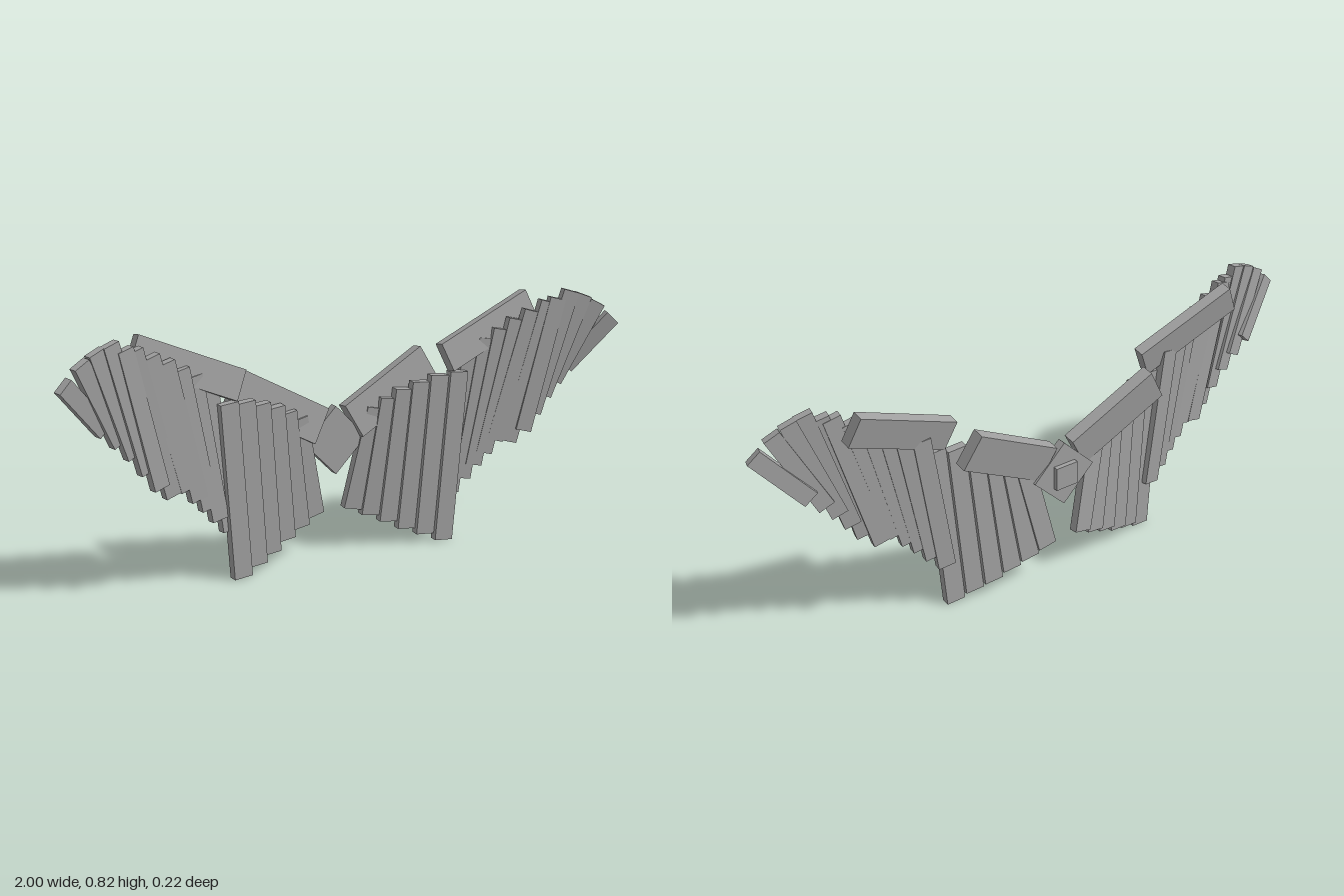
import * as THREE from 'three';

const V = (x, y, z) => new THREE.Vector3(x, y, z);

export function createModel() {
  const grey = new THREE.MeshStandardMaterial({ color: 0xa0a0a0 });
  grey.name = 'grey';
  const model = new THREE.Group();
  model.name = 'mechanicalWings';

  // Box slat running from bottom to top, its broad face turned by yaw
  function slat(name, parent, side, bottom, top, width, depth, yaw) {
    const a = V(bottom[0] * side, bottom[1], bottom[2]);
    const b = V(top[0] * side, top[1], top[2]);
    const up = b.clone().sub(a);
    const length = up.length();
    up.normalize();
    const facing = V(-Math.sin(yaw) * side, 0, Math.cos(yaw));
    const across = up.clone().cross(facing).normalize();
    const out = across.clone().cross(up);
    const mesh = new THREE.Mesh(new THREE.BoxGeometry(width, length, depth), grey);
    mesh.quaternion.setFromRotationMatrix(new THREE.Matrix4().makeBasis(across, up, out));
    mesh.position.copy(a).add(b).multiplyScalar(0.5);
    mesh.name = name;
    parent.add(mesh);
  }

  // Wing arm: rolled in the front plane, then leaned back
  function arm(name, parent, side, pos, size, roll, lean) {
    const mesh = new THREE.Mesh(new THREE.BoxGeometry(...size), grey);
    mesh.position.set(pos[0] * side, pos[1], pos[2]);
    mesh.rotation.set(-lean, 0, roll * side);
    mesh.name = name;
    parent.add(mesh);
  }

  // Feather fans, each listed as [bottom point, top point]
  const fans = [
    { name: 'innerFeather', width: 0.064, depth: 0.03, yaw: 0.06, feathers: [
      [[0.07, 0.138, -0.085], [0.143, 0.475, -0.058]],
      [[0.13, 0.11, -0.073], [0.187, 0.503, -0.048]],
      [[0.19, 0.083, -0.058], [0.236, 0.53, -0.035]],
      [[0.25, 0.053, -0.042], [0.292, 0.55, -0.023]],
      [[0.31, 0.03, -0.022], [0.352, 0.568, -0.008]],
      [[0.372, 0.004, -0.005], [0.417, 0.575, 0.007]] ] },
    { name: 'middleFeather', width: 0.058, depth: 0.028, yaw: 0.14, feathers: [
      [[0.407, 0.162, -0.018], [0.475, 0.64, -0.01]],
      [[0.447, 0.205, -0.008], [0.53, 0.672, 0.002]],
      [[0.485, 0.248, 0], [0.578, 0.7, 0.014]],
      [[0.522, 0.285, 0.006], [0.63, 0.73, 0.026]],
      [[0.56, 0.325, 0.012], [0.683, 0.755, 0.037]],
      [[0.612, 0.315, 0.018], [0.74, 0.782, 0.048]] ] },
    { name: 'outerFeather', width: 0.055, depth: 0.028, yaw: 0.22, feathers: [
      [[0.66, 0.35, 0.036], [0.772, 0.79, 0.056]],
      [[0.7, 0.405, 0.034], [0.82, 0.812, 0.064]],
      [[0.742, 0.46, 0.032], [0.868, 0.796, 0.071]],
      [[0.785, 0.505, 0.03], [0.918, 0.768, 0.08]],
      [[0.833, 0.55, 0.03], [0.975, 0.713, 0.091]] ] },
  ];

  for (const side of [1, -1]) {
    const wing = new THREE.Group();
    wing.name = side > 0 ? 'leftWing' : 'rightWing';
    model.add(wing);
    arm('innerArm', wing, side, [0.206, 0.517, -0.076], [0.335, 0.122, 0.043], 0.5, 0.13);
    arm('outerArm', wing, side, [0.543, 0.694, -0.012], [0.37, 0.1, 0.039], 0.4, 0.16);
    for (const fan of fans) {
      for (const [bottom, top] of fan.feathers) {
        slat(fan.name, wing, side, bottom, top, fan.width, fan.depth, fan.yaw);
      }
    }
  }

  // Diamond hub between the wings, with a square pad behind it
  const hub = new THREE.Mesh(new THREE.BoxGeometry(0.16, 0.16, 0.03), grey);
  hub.rotation.z = Math.PI / 4;
  hub.position.set(0, 0.382, -0.075);
  hub.name = 'hub';
  const pad = new THREE.Mesh(new THREE.BoxGeometry(0.08, 0.08, 0.02), grey);
  pad.position.set(0, 0.38, -0.096);
  pad.name = 'backPad';
  model.add(hub, pad);

  return model;
}
